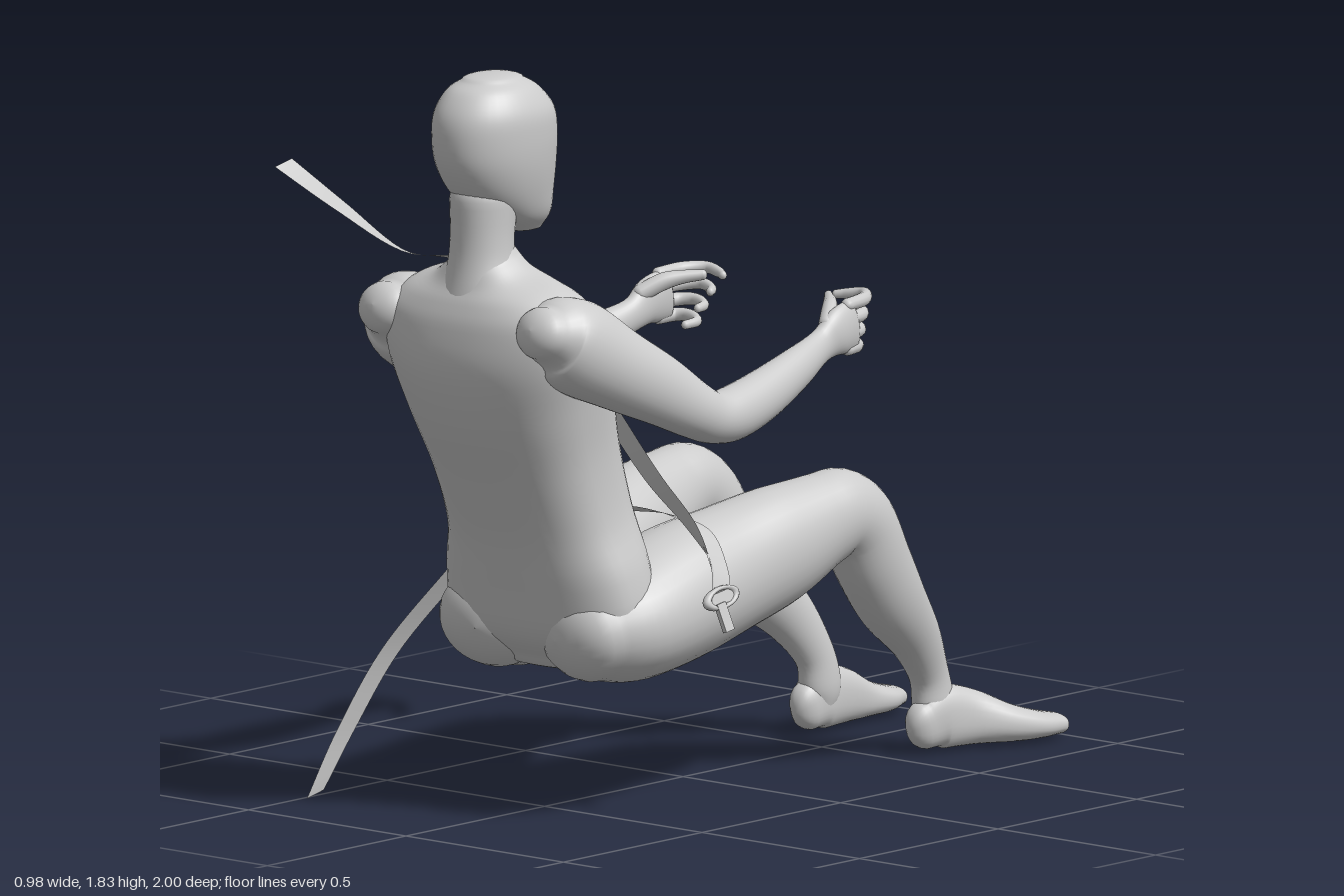
import * as THREE from 'three';

const grey = new THREE.MeshStandardMaterial({ color: 0xcccccc });
const webbing = new THREE.MeshStandardMaterial({ color: 0xcccccc, side: THREE.DoubleSide });
const MID = 0.055; // the body's plane of symmetry
const V = (x, y, z) => new THREE.Vector3(x, y, z);
const spline = (pts) => new THREE.CatmullRomCurve3(pts, false, 'catmullrom', 0.5);

function meshFrom(name, pos, index, material) {
  const g = new THREE.BufferGeometry();
  g.setAttribute('position', new THREE.Float32BufferAttribute(pos, 3));
  g.setIndex(index);
  g.computeVertexNormals();
  const m = new THREE.Mesh(g, material);
  m.name = name;
  return m;
}

// Smooth skin through rows of [x, y, z, sideRadius, depthRadius], with domed ends.
function loft(name, rows, { side = V(1, 0, 0), normal = null, power = 2, dome = 0.8, n = 32, steps = 5 } = {}) {
  const path = spline(rows.map((r) => V(r[0], r[1], r[2])));
  const radii = spline(rows.map((r) => V(r[3], r[4], 0)));
  const count = (rows.length - 1) * steps;
  const rings = [];
  const addDome = (t, dir) => {
    const T = normal ? normal.clone().normalize() : path.getTangent(t);
    const c = path.getPoint(t), r = radii.getPoint(t);
    const list = [];
    for (let k = 1; k <= 6; k++) {
      const a = (k / 6) * Math.PI / 2;
      const p = c.clone().addScaledVector(T, dir * dome * Math.min(r.x, r.y) * Math.sin(a));
      list.push([p, T, r.clone().multiplyScalar(Math.max(Math.cos(a), 0.001))]);
    }
    return list;
  };
  rings.push(...addDome(0, -1).reverse());
  for (let i = 0; i <= count; i++) {
    const t = i / count;
    rings.push([path.getPoint(t), normal ? normal.clone().normalize() : path.getTangent(t), radii.getPoint(t)]);
  }
  rings.push(...addDome(1, 1));

  const pos = [], index = [];
  const bulge = (v) => Math.sign(v) * Math.pow(Math.abs(v), 2 / power);
  rings.forEach(([c, T, r], i) => {
    const S = side.clone().addScaledVector(T, -side.dot(T)).normalize();
    const D = T.clone().cross(S);
    for (let j = 0; j < n; j++) {
      const a = (j / n) * Math.PI * 2;
      const p = c.clone().addScaledVector(S, r.x * bulge(Math.cos(a))).addScaledVector(D, r.y * bulge(Math.sin(a)));
      pos.push(p.x, p.y, p.z);
      if (i < rings.length - 1) {
        const k = (j + 1) % n, A = i * n, B = A + n;
        index.push(A + j, A + k, B + j, A + k, B + k, B + j);
      }
    }
  });
  return meshFrom(name, pos, index, grey);
}

// Flat strap through rows of [point, width direction].
function strap(name, rows, halfWidth = 0.031) {
  const path = spline(rows.map((r) => V(...r[0])));
  const wide = spline(rows.map((r) => V(...r[1])));
  const pos = [], index = [], count = rows.length * 6;
  for (let i = 0; i <= count; i++) {
    const c = path.getPoint(i / count), w = wide.getPoint(i / count).normalize().multiplyScalar(halfWidth);
    pos.push(c.x - w.x, c.y - w.y, c.z - w.z, c.x + w.x, c.y + w.y, c.z + w.z);
    if (i < count) { const a = i * 2; index.push(a, a + 1, a + 2, a + 1, a + 3, a + 2); }
  }
  return meshFrom(name, pos, index, webbing);
}

// Limb rows give the distance from the body's middle; s picks the side.
const onSide = (s, rows) => rows.map(([o, ...rest]) => [MID + s * o, ...rest]);
const centred = (rows) => rows.map((r) => [MID, ...r]);

function makeArm(s) {
  const arm = new THREE.Group();
  arm.name = s > 0 ? 'leftArm' : 'rightArm';
  arm.add(loft('armAndPalm', onSide(s, [
    [0.25, 1.25, 0.85, 0.075, 0.065], [0.25, 1.235, 0.80, 0.1, 0.1], [0.265, 1.20, 0.74, 0.102, 0.115],
    [0.30, 1.14, 0.64, 0.085, 0.1], [0.33, 1.08, 0.53, 0.07, 0.086], [0.35, 1.02, 0.43, 0.064, 0.07],
    [0.355, 0.99, 0.36, 0.06, 0.063], [0.352, 0.99, 0.28, 0.06, 0.067], [0.34, 1.015, 0.16, 0.054, 0.063],
    [0.32, 1.055, 0.02, 0.042, 0.052], [0.30, 1.09, -0.09, 0.029, 0.042],
    [0.30, 1.115, -0.15, 0.029, 0.058], [0.295, 1.125, -0.205, 0.024, 0.064]])));
  // fingers curl inwards, the lower ones more tightly
  for (let i = 0; i < 4; i++) {
    const y = 1.177 - 0.036 * i, z = 0.02 * i;
    arm.add(loft('finger', onSide(s, [
      [0.30, y, -0.19, 0.016, 0.016], [0.29, y + 0.003, -0.26 + z * 0.4, 0.017, 0.016],
      [0.25, y + 0.005, -0.305 + z, 0.015, 0.014], [0.205, y, -0.298 + z * 1.3, 0.013, 0.012],
      [0.18 + z * 0.4, y - 0.003, -0.285 + z * 1.8, 0.011, 0.01]]), { side: V(0, 1, 0), n: 12, dome: 1 }));
  }
  arm.add(loft('thumb', onSide(s, [
    [0.295, 1.14, -0.12, 0.022, 0.02], [0.265, 1.165, -0.165, 0.022, 0.02],
    [0.235, 1.175, -0.2, 0.017, 0.016], [0.20, 1.18, -0.235, 0.013, 0.011]]), { side: V(0, 1, 0), n: 12, dome: 1 }));
  return arm;
}

function makeLeg(s) {
  const leg = new THREE.Group();
  leg.name = s > 0 ? 'leftLeg' : 'rightLeg';
  leg.add(loft('buttockThighAndShin', onSide(s, [
    [0.145, 0.475, 0.575, 0.145, 0.122], [0.165, 0.49, 0.47, 0.17, 0.15], [0.175, 0.53, 0.30, 0.165, 0.165],
    [0.195, 0.57, 0.13, 0.14, 0.157], [0.22, 0.61, -0.02, 0.12, 0.146], [0.24, 0.65, -0.15, 0.1, 0.118],
    [0.245, 0.66, -0.22, 0.095, 0.108], [0.245, 0.62, -0.285, 0.09, 0.103], [0.24, 0.52, -0.35, 0.084, 0.1],
    [0.225, 0.42, -0.43, 0.077, 0.092], [0.20, 0.31, -0.545, 0.056, 0.07], [0.182, 0.21, -0.615, 0.043, 0.054],
    [0.18, 0.13, -0.635, 0.045, 0.058], [0.185, 0.085, -0.635, 0.04, 0.045]])));
  leg.add(loft('foot', onSide(s, [
    [0.185, 0.085, -0.60, 0.04, 0.06], [0.19, 0.098, -0.65, 0.046, 0.077], [0.205, 0.088, -0.73, 0.052, 0.068],
    [0.235, 0.066, -0.82, 0.07, 0.048], [0.25, 0.053, -0.90, 0.077, 0.035], [0.262, 0.047, -0.965, 0.058, 0.026]]),
  { power: 2.4, dome: 1.3 }));
  return leg;
}

function makeBuckle() {
  const buckle = new THREE.Group();
  buckle.name = 'buckle';
  const frame = new THREE.Mesh(new THREE.TorusGeometry(0.045, 0.011, 10, 28), grey);
  frame.name = 'buckleFrame';
  frame.scale.set(1.1, 0.5, 1);
  frame.rotation.y = Math.PI / 2;
  const plate = new THREE.Mesh(new THREE.BoxGeometry(0.012, 0.03, 0.08), grey);
  plate.name = 'bucklePlate';
  const tongue = new THREE.Mesh(new THREE.BoxGeometry(0.012, 0.07, 0.03), grey);
  tongue.name = 'buckleTongue';
  tongue.position.set(0.005, -0.045, 0.015);
  buckle.add(frame, plate, tongue);
  buckle.position.set(0.455, 0.56, 0.38);
  buckle.rotation.set(0.15, 0, 0.3);
  return buckle;
}

export function createModel() {
  const model = new THREE.Group();
  model.name = 'seatedFigureWithBelt';

  // trunk leans back, so its sections are tilted
  model.add(loft('torso', centred([
    [0.42, 0.52, 0.2, 0.09], [0.50, 0.53, 0.285, 0.14], [0.62, 0.55, 0.28, 0.155], [0.75, 0.58, 0.243, 0.165],
    [0.90, 0.63, 0.237, 0.182], [1.05, 0.685, 0.258, 0.2], [1.18, 0.735, 0.285, 0.19], [1.275, 0.77, 0.285, 0.147],
    [1.325, 0.785, 0.22, 0.112], [1.36, 0.785, 0.13, 0.09], [1.40, 0.785, 0.08, 0.075]]),
  { normal: V(0, 0.96, 0.28), power: 2.4, n: 48, dome: 0.5 }));
  model.add(loft('neck', centred([
    [1.30, 0.80, 0.11, 0.085], [1.38, 0.79, 0.084, 0.08], [1.45, 0.787, 0.077, 0.078], [1.54, 0.78, 0.08, 0.088]]),
  { normal: V(0, 1, 0) }));
  model.add(loft('head', centred([
    [1.452, 0.645, 0.045, 0.05], [1.49, 0.675, 0.077, 0.1], [1.55, 0.715, 0.101, 0.142], [1.62, 0.737, 0.118, 0.166],
    [1.69, 0.743, 0.125, 0.172], [1.75, 0.745, 0.122, 0.161], [1.80, 0.75, 0.097, 0.122], [1.825, 0.75, 0.065, 0.08]]),
  { normal: V(0, 1, 0), n: 40, power: 2.15, dome: 0.22 }));

  for (const s of [-1, 1]) model.add(makeArm(s), makeLeg(s));

  // belt: over the right shoulder to the left hip, and across the lap
  model.add(strap('shoulderBelt', [
    [[-0.42, 1.59, 0.965], [0, -0.2, 1]], [[-0.33, 1.48, 0.86], [0.3, -0.1, 0.9]],
    [[-0.21, 1.375, 0.77], [0.6, 0.1, 0.7]], [[-0.12, 1.35, 0.665], [0.75, 0.3, 0.5]],
    [[-0.05, 1.26, 0.56], [0.8, 0.5, 0.15]], [[0.05, 1.13, 0.475], [0.82, 0.55, 0]],
    [[0.15, 0.98, 0.435], [0.82, 0.5, 0.1]], [[0.25, 0.83, 0.395], [0.82, 0.45, 0.2]],
    [[0.34, 0.72, 0.36], [0.8, 0.35, 0.4]], [[0.41, 0.63, 0.36], [0.5, 0.2, 0.75]], [[0.45, 0.56, 0.38], [0.1, 0.1, 1]]]));
  model.add(strap('lapBelt', [
    [[-0.49, 0.02, 0.77], [0, -0.2, 1]], [[-0.47, 0.17, 0.68], [0, 0.2, 1]], [[-0.42, 0.35, 0.58], [0, 0.3, 0.95]],
    [[-0.33, 0.52, 0.47], [0.1, 0.45, 0.9]], [[-0.24, 0.65, 0.40], [0.2, 0.5, 0.85]],
    [[-0.1, 0.715, 0.335], [0.1, 0.4, 0.9]], [[0.05, 0.72, 0.31], [0, 0.4, 0.9]], [[0.2, 0.725, 0.305], [0, 0.3, 0.95]],
    [[0.33, 0.70, 0.31], [-0.1, 0.2, 1]], [[0.42, 0.62, 0.345], [0, 0.2, 1]], [[0.46, 0.55, 0.38], [0.1, 0.1, 1]]]));
  model.add(makeBuckle());
  return model;
}
